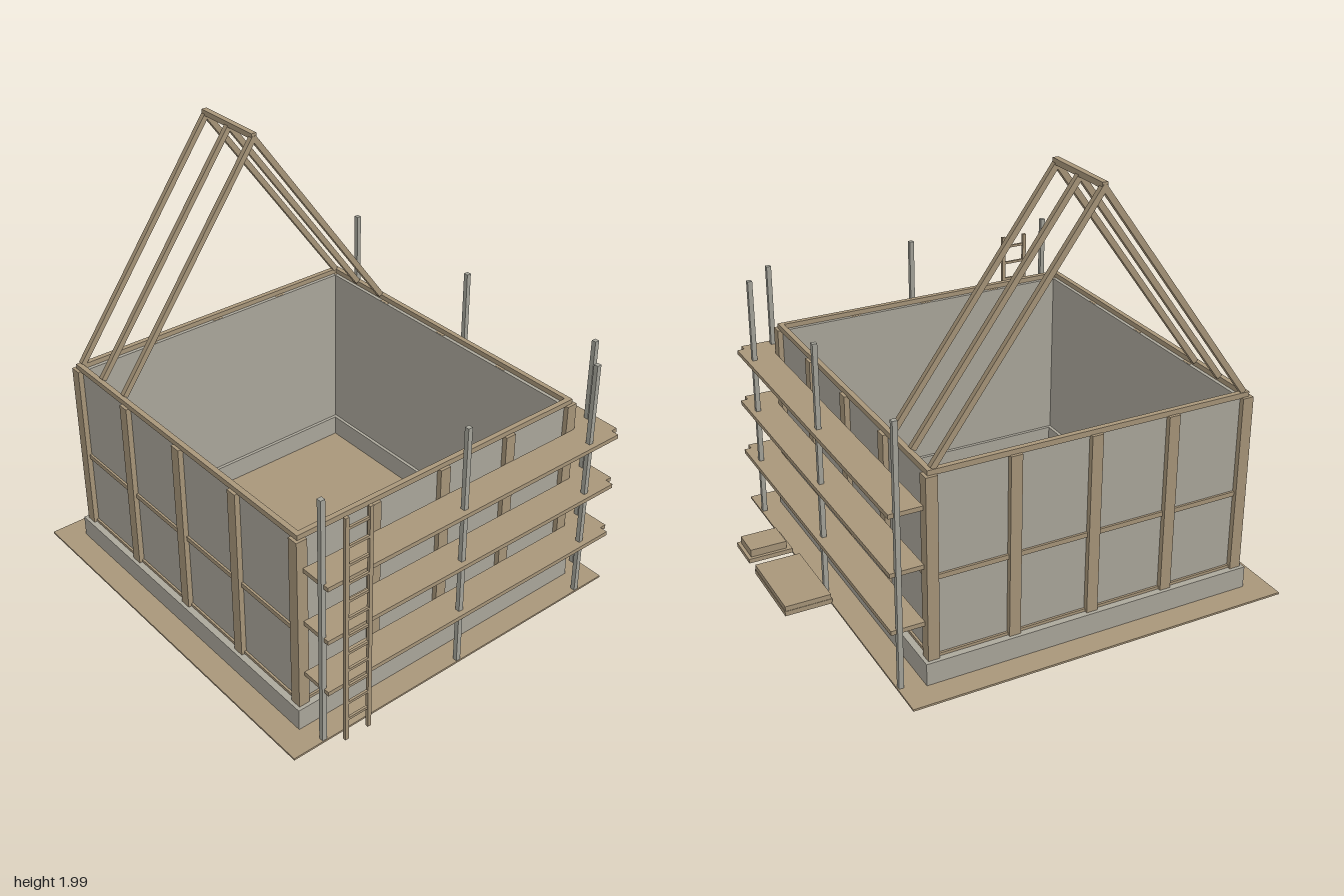
import * as THREE from 'three';

export function createModel() {
  const model = new THREE.Group();
  const material = (name, color) => {
    const m = new THREE.MeshStandardMaterial({ color });
    m.name = name;
    return m;
  };
  const wood = material('timber', 0xa8967a);
  const plaster = material('grey plaster', 0xaca89c);
  const steel = material('scaffold grey', 0xa6a59b);

  const group = (name) => {
    const g = new THREE.Group();
    g.name = name;
    model.add(g);
    return g;
  };
  // Box given by its min and max on each axis
  const box = (parent, name, mat, [x0, x1], [y0, y1], [z0, z1]) => {
    const mesh = new THREE.Mesh(new THREE.BoxGeometry(x1 - x0, y1 - y0, z1 - z0), mat);
    mesh.position.set((x0 + x1) / 2, (y0 + y1) / 2, (z0 + z1) / 2);
    mesh.name = name;
    parent.add(mesh);
    return mesh;
  };
  const around = (c, half) => [c - half, c + half];

  // House centre and half spans of the wall centre lines
  const cx = -0.107, cz = -0.025, hx = 0.738, hz = 0.79;

  // Rectangular ring around the house; a = inner offset, b = outer offset from the wall line
  const ring = (parent, name, mat, a, b, y0, y1) => {
    const rect = (Type, d) => {
      const p = new Type();
      p.moveTo(-hx - d, -hz - d);
      p.lineTo(hx + d, -hz - d);
      p.lineTo(hx + d, hz + d);
      p.lineTo(-hx - d, hz + d);
      p.closePath();
      return p;
    };
    const shape = rect(THREE.Shape, b);
    shape.holes.push(rect(THREE.Path, a));
    const geo = new THREE.ExtrudeGeometry(shape, { depth: y1 - y0, bevelEnabled: false });
    geo.rotateX(-Math.PI / 2);
    const mesh = new THREE.Mesh(geo, mat);
    mesh.position.set(cx, y0, cz);
    mesh.name = name;
    parent.add(mesh);
  };

  // Ground sheet and foundation
  box(model, 'ground', wood, [-1, 0.786], [0.001, 0.01], [-0.97, 0.92]);
  ring(model, 'foundation', plaster, -0.045, 0.042, 0, 0.112);

  // Walls with the timber rings that run around them
  const walls = group('walls');
  ring(walls, 'wallPanels', plaster, -0.029, 0.002, 0.112, 0.944);
  ring(walls, 'sill', wood, -0.012, 0.012, 0.112, 0.125);
  ring(walls, 'middleRail', wood, -0.012, 0.012, 0.474, 0.496);
  ring(walls, 'topPlate', wood, -0.012, 0.012, 0.942, 0.967);

  // Studs: five per side, corners shared
  const studs = group('studs');
  for (let i = 0; i < 5; i++) {
    for (let j = 0; j < 5; j++) {
      if (i % 4 && j % 4) continue;
      const x = cx + (i / 2 - 1) * hx, z = cz + (j / 2 - 1) * hz;
      box(studs, 'stud', wood, around(x, 0.026), [0.112, 0.945], around(z, 0.026));
    }
  }

  // Three rafter pairs joined by a ridge beam
  const roof = group('roofFrame');
  const apexY = 1.968, footY = 0.972, run = 0.722;
  const slope = Math.atan2(apexY - footY, run);
  for (const z of [-0.812, -0.64, -0.465]) {
    for (const side of [-1, 1]) {
      const length = Math.hypot(run, apexY - footY) + 0.012;
      const rafter = box(roof, 'rafter', wood, around(0, length / 2), around(0, 0.013), around(0, 0.012));
      rafter.position.set(cx + side * run / 2, (apexY + footY) / 2, z);
      rafter.rotation.z = -side * slope;
    }
  }
  box(roof, 'ridgeBeam', wood, around(cx, 0.013), [1.965, 1.99], [-0.822, -0.455]);

  // Scaffold: poles and three L-shaped levels of decking on the front and left
  const scaffold = group('scaffold');
  const pole = (x, z) => box(scaffold, 'pole', steel, around(x, 0.011), [0.01, 1.206], around(z, 0.011));
  for (const k of [-1, 0, 1]) {
    pole(cx + k * 0.735, 0.906);
    pole(0.77, cz + k * 0.79);
  }
  for (const y of [0.276, 0.54, 0.803]) {
    box(scaffold, 'frontDeck', wood, [-0.842, 0.772], around(y, 0.01), [0.791, 0.942]);
    box(scaffold, 'sideDeck', wood, [0.657, 0.805], around(y, 0.01), [-0.815, 0.904]);
  }

  // Ladder
  const ladder = group('ladder');
  for (const x of [-0.768, -0.65]) {
    box(ladder, 'ladderRail', wood, around(x, 0.009), [0.005, 1.12], [0.953, 0.968]);
  }
  for (let i = 0; i < 12; i++) {
    box(ladder, 'rung', wood, [-0.765, -0.653], around(0.11 + i * 0.087, 0.006), [0.955, 0.966]);
  }

  // Stacked boards beside the house
  const boards = group('boardStacks');
  box(boards, 'largeStackLower', wood, [0.78, 1], [0.004, 0.027], [-0.128, 0.255]);
  box(boards, 'largeStackUpper', wood, [0.785, 0.998], [0.027, 0.05], [-0.126, 0.253]);
  box(boards, 'smallStackLower', wood, [0.785, 0.996], [0.004, 0.025], [0.346, 0.514]);
  box(boards, 'smallStackUpper', wood, [0.808, 0.98], [0.025, 0.061], [0.362, 0.5]);

  return model;
}
